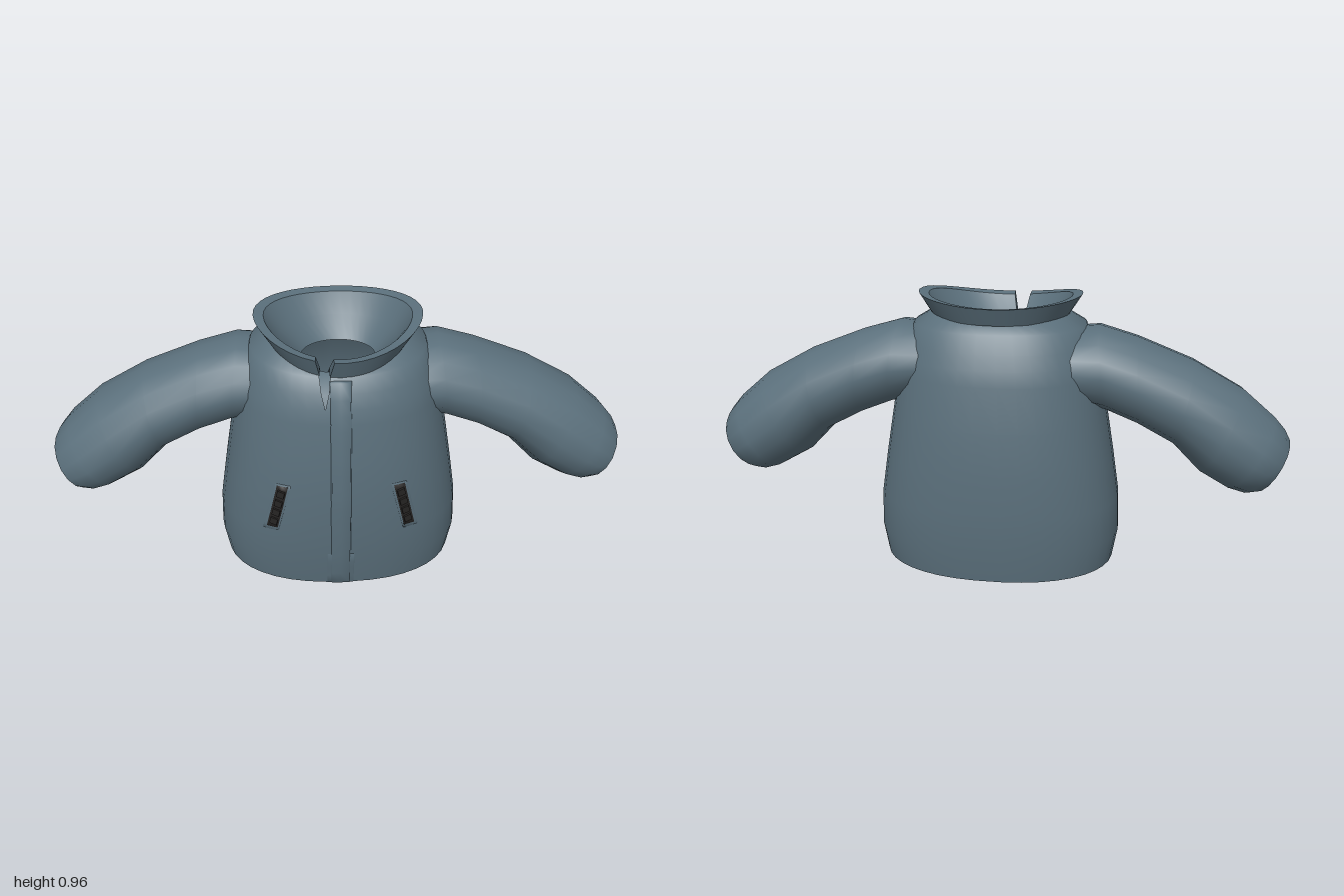
import * as THREE from 'three';
import { mergeGeometries } from 'three/addons/utils/BufferGeometryUtils.js';

const GAP_X = -0.05; // the front opening sits a little off centre

// Smooth surface through rows of points; closed rows share normals at the seam
function grid(rows, closed = false) {
  const n = rows[0].length, idx = [];
  for (let i = 0; i < rows.length - 1; i++) {
    for (let j = 0; j < n - 1; j++) {
      const a = i * n + j, c = a + n;
      idx.push(a, a + 1, c, a + 1, c + 1, c);
    }
  }
  const g = new THREE.BufferGeometry();
  g.setAttribute('position', new THREE.Float32BufferAttribute(rows.flat(2), 3));
  g.setIndex(idx);
  g.computeVertexNormals();
  if (closed) {
    const N = g.attributes.normal, p = new THREE.Vector3(), q = new THREE.Vector3();
    for (let i = 0; i < rows.length; i++) {
      p.fromBufferAttribute(N, i * n);
      q.fromBufferAttribute(N, i * n + n - 1);
      p.add(q).normalize();
      N.setXYZ(i * n, p.x, p.y, p.z);
      N.setXYZ(i * n + n - 1, p.x, p.y, p.z);
    }
  }
  return g;
}

// Horizontal ring: half width, front depth, back depth, side / front / back height, half gap
function ring([rx, zf, zb, yS, yF = yS, yB = yS, gap = 0], e) {
  const angle = x => Math.sign(x) * Math.asin(Math.pow(Math.abs(x) / rx, e / 2));
  const a0 = angle(GAP_X + gap), a1 = 2 * Math.PI + angle(GAP_X - gap), pts = [];
  for (let j = 0; j <= 40; j++) {
    const t = a0 + (a1 - a0) * j / 40, s = Math.sin(t), c = Math.cos(t);
    const k = c * c, pw = v => Math.sign(v) * Math.pow(Math.abs(v), 2 / e);
    pts.push([rx * pw(s), yS + ((c > 0 ? yF : yB) - yS) * k, pw(c) * (c > 0 ? zf : zb)]);
  }
  return pts;
}

const E = 2.3; // body sections are slightly squarer than ellipses
const OUTER = [
  [0.41, 0.262, 0.285, 0.015, 0.005, 0.008],
  [0.428, 0.283, 0.302, 0.12],
  [0.423, 0.297, 0.309, 0.25],
  [0.40, 0.306, 0.31, 0.4],
  [0.375, 0.301, 0.30, 0.55],
  [0.35, 0.283, 0.278, 0.7],
  [0.337, 0.271, 0.264, 0.75],
  [0.32, 0.253, 0.245, 0.8, 0.8, 0.8, 0.012],
  [0.295, 0.225, 0.218, 0.86, 0.845, 0.86, 0.018],
  [0.23, 0.2, 0.185, 0.9, 0.855, 0.885, 0.02],
];
const INNER = [
  [0.125, 0.12, 0.10, 0.8],
  [0.28, 0.22, 0.215, 0.77],
  [0.345, 0.27, 0.265, 0.55],
  [0.395, 0.27, 0.28, 0.2],
  [0.378, 0.23, 0.252, 0.015, 0.005, 0.008],
];

// Depth of the body's front at a given point
function frontZ(x, y) {
  let i = 0;
  while (i < OUTER.length - 3 && OUTER[i + 1][3] < y) i++;
  const a = OUTER[i], b = OUTER[i + 1];
  const t = Math.max(0, (y - a[3]) / (b[3] - a[3]));
  const rx = a[0] + (b[0] - a[0]) * t, zf = a[1] + (b[1] - a[1]) * t;
  return zf * Math.pow(1 - Math.pow(Math.abs(x) / rx, E), 1 / E);
}

// Raised strip following the front between two points; edges sink into the cloth
function strip(x0, y0, x1, y1, half, lift, n = 10) {
  const rows = [];
  for (let i = -1; i <= n + 1; i++) {
    const t = Math.min(1, Math.max(0, i / n)), end = i < 0 || i > n;
    const cx = x0 + (x1 - x0) * t, y = y0 + (y1 - y0) * t;
    rows.push([-half, -half * 0.85, 0, half * 0.85, half].map((d, k) =>
      [cx + d, y, frontZ(cx + d, y) + (end || k === 0 || k === 4 ? -0.006 : lift)]));
  }
  return grid(rows);
}

// Sleeve stations: top x, y, bottom x, y, half depth, centre z
const SLEEVE = [
  [0.24, 0.85, 0.27, 0.6, 0.175, -0.02],
  [0.34, 0.862, 0.37, 0.575, 0.175, -0.023],
  [0.47, 0.825, 0.48, 0.53, 0.172, -0.025],
  [0.66, 0.75, 0.6, 0.465, 0.178, -0.025],
  [0.83, 0.655, 0.69, 0.37, 0.186, -0.022],
  [0.94, 0.56, 0.79, 0.312, 0.175, -0.02],
  [0.978, 0.515, 0.85, 0.292, 0.155, -0.015],
  [0.997, 0.478, 0.89, 0.297, 0.135, -0.01],
];
const CUFF = [SLEEVE[7], [0.971, 0.437, 0.907, 0.335, 0.078, -0.008]];
const RECESS = [CUFF[1], [0.885, 0.485, 0.825, 0.39, 0.07, -0.008]];
const RECESS_END = [RECESS[1], [0.855, 0.4375, 0.855, 0.4375, 0, -0.008]];

function sleeveRing([tx, ty, bx, by, rz, cz], side) {
  const pts = [];
  for (let j = 0; j <= 16; j++) {
    const a = side * j / 16 * Math.PI * 2, c = Math.cos(a);
    pts.push([side * ((tx + bx) / 2 + (tx - bx) / 2 * c), (ty + by) / 2 + (ty - by) / 2 * c, cz + rz * Math.sin(a)]);
  }
  return pts;
}

export function createModel() {
  const model = new THREE.Group();
  model.name = 'jacket';
  const cloth = new THREE.MeshStandardMaterial({ color: 0x5b707c, side: THREE.DoubleSide });
  cloth.name = 'slate cloth';
  const dark = new THREE.MeshStandardMaterial({ color: 0x262423, side: THREE.DoubleSide });
  dark.name = 'dark trim';
  const add = (name, geo, mat, parent = model) => {
    const m = new THREE.Mesh(geo, mat);
    m.name = name;
    parent.add(m);
    return m;
  };

  // Body shell, lining and hem
  add('body', grid(OUTER.map(r => ring(r, E)), true), cloth);
  add('lining', grid(INNER.map(r => ring(r, E)), true), cloth);
  add('hem', grid([INNER[4], OUTER[0]].map(r => ring(r, E)), true), dark);

  // Flared collar, open at the front, with a funnel down to the neck hole
  const lower = ring([0.235, 0.225, 0.195, 0.89, 0.842, 0.885, 0.016], 2);
  const under = ring([0.2, 0.19, 0.165, 0.885, 0.845, 0.88, 0.016], 2);
  const top = ring([0.28, 0.252, 0.222, 0.962, 0.912, 0.945, 0.03], 2);
  const rim = ring([0.246, 0.218, 0.19, 0.956, 0.906, 0.94, 0.028], 2);
  const mid = ring([0.195, 0.178, 0.155, 0.88, 0.85, 0.87, 0.016], 2);
  const neck = ring([0.125, 0.12, 0.1, 0.8, 0.8, 0.8, 0.012], 2);
  const ends = [0, 40].map(j => grid([[lower[j], mid[j]], [top[j], rim[j]]]));
  add('collar', mergeGeometries([
    grid([under, lower]), grid([lower, top]), grid([top, rim]), grid([rim, mid, neck]), ...ends,
  ]), cloth);

  // Zip placket and the wider flap at its foot
  add('placket', strip(0, 0.01, 0, 0.835, 0.036, 0.009, 16), cloth);
  add('placketFoot', strip(0, 0.008, 0, 0.16, 0.052, 0.004, 4), cloth);

  for (const side of [1, -1]) {
    const label = side > 0 ? 'left' : 'right';

    // Sleeve, cuff edge and hollow end
    const sleeve = new THREE.Group();
    sleeve.name = label + 'Sleeve';
    model.add(sleeve);
    const tube = rows => grid(rows.map(r => sleeveRing(r, side)), true);
    add('sleeveTube', tube(SLEEVE), cloth, sleeve);
    add('cuffEdge', tube(CUFF), cloth, sleeve);
    add('cuffHollow', mergeGeometries([tube(RECESS), tube(RECESS_END)]), cloth, sleeve);

    // Slanted pocket: welt, dark slot and zip teeth
    const pocket = new THREE.Group();
    pocket.name = label + 'Pocket';
    model.add(pocket);
    add('pocketWelt', strip(side * 0.242, 0.26, side * 0.194, 0.46, 0.029, 0.003), cloth, pocket);
    add('pocketSlot', strip(side * 0.236, 0.275, side * 0.196, 0.455, 0.021, 0.006), dark, pocket);
    for (let i = 0; i < 4; i++) {
      const y = 0.305 + i * 0.04, x = side * (0.229 - i * 0.009);
      const tooth = add('pocketTooth', new THREE.BoxGeometry(0.026, 0.026, 0.012), dark, pocket);
      tooth.position.set(x, y, frontZ(x, y) + 0.006);
      tooth.rotation.set(0, side * 0.35, side * 0.25);
    }

    // Dark pocket backing on the inside
    const back = add('pocketBacking', new THREE.BoxGeometry(0.045, 0.17, 0.008), dark, pocket);
    back.position.set(side * 0.215, 0.36, 0.234);
    back.rotation.set(0, side * 0.35, side * 0.23);
  }
  return model;
}
